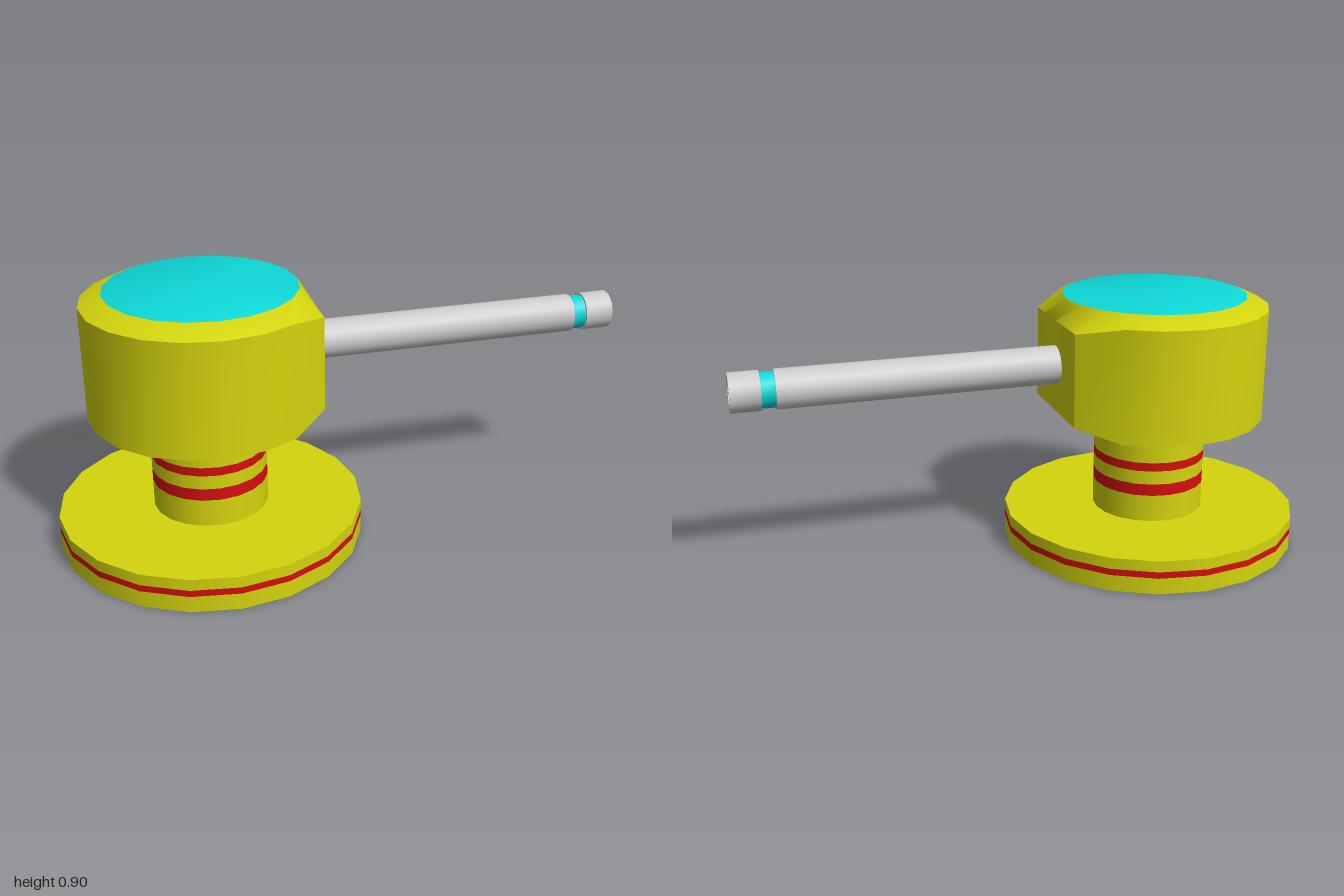
import * as THREE from 'three';
import { toCreasedNormals } from 'three/addons/utils/BufferGeometryUtils.js';

const SIDES = 20;
const AXIS_X = -0.473;
const BARREL_Y = 0.676;
const BARREL_Z = -0.003;

const paint = (color) => new THREE.MeshStandardMaterial({ color });
const yellow = paint(0xd4d40e);
const red = paint(0xd40e0e);
const cyan = paint(0x0ed8d8);
const grey = paint(0xcccccc);

function add(group, name, geometry, material) {
  const mesh = new THREE.Mesh(geometry, material);
  mesh.name = name;
  group.add(mesh);
  return mesh;
}

// Upright drum split into bands: [bottom, top, material]
function bandedDrum(name, radius, bands) {
  const group = new THREE.Group();
  group.name = name;
  bands.forEach(([y0, y1, material], i) => {
    const g = new THREE.CylinderGeometry(radius, radius, y1 - y0, SIDES, 1, true);
    g.translate(0, (y0 + y1) / 2, 0);
    add(group, `${name}Band${i + 1}`, g, material);
  });
  return group;
}

function disc(radius, y, up) {
  const g = new THREE.CircleGeometry(radius, SIDES);
  g.rotateX(up ? -Math.PI / 2 : Math.PI / 2);
  return g.translate(0, y, 0);
}

// Turret head: bevelled drum with a flat cheek on the barrel side
function headGeometry() {
  const rings = [
    { r: 0.2, y: 0.412 },
    { r: 0.4, y: 0.475, cheekY: 0.507 },
    { r: 0.4, y: 0.869, cheekY: 0.832 },
    { r: 0.324, y: 0.904 },
  ];
  const positions = [];
  const index = [];
  for (const { r, y, cheekY } of rings) {
    for (let i = 0; i < SIDES; i++) {
      const a = (i / SIDES) * Math.PI * 2;
      const step = Math.min(i, SIDES - i);
      let z = r * Math.sin(a);
      if (cheekY && step <= 2) {
        if (step === 2) z = Math.sign(z) * 0.2;
        positions.push(0.363, cheekY, z);
      } else {
        positions.push(r * Math.cos(a), y, z);
      }
    }
  }
  for (let k = 0; k < rings.length - 1; k++) {
    for (let i = 0; i < SIDES; i++) {
      const a = k * SIDES + i;
      const b = k * SIDES + ((i + 1) % SIDES);
      index.push(a, a + SIDES, b, b, a + SIDES, b + SIDES);
    }
  }
  const sideCount = index.length;
  // Roof fan
  const first = (rings.length - 1) * SIDES;
  const centre = positions.length / 3;
  positions.push(0, 0.904, 0);
  for (let i = 0; i < SIDES; i++) {
    index.push(first + i, centre, first + ((i + 1) % SIDES));
  }
  const g = new THREE.BufferGeometry();
  g.setAttribute('position', new THREE.Float32BufferAttribute(positions, 3));
  g.setIndex(index);
  g.addGroup(0, sideCount, 0);
  g.addGroup(sideCount, index.length - sideCount, 1);
  return toCreasedNormals(g, Math.PI / 6);
}

// Lathe a [radius, x] profile around the barrel axis
function barrelLathe(profile) {
  const points = profile.map(([r, x]) => new THREE.Vector2(r, x));
  const g = toCreasedNormals(new THREE.LatheGeometry(points, SIDES), Math.PI / 6);
  g.rotateZ(-Math.PI / 2);
  return g.translate(0, BARREL_Y, BARREL_Z);
}

export function createModel() {
  const model = new THREE.Group();
  model.name = 'turret';

  const body = new THREE.Group();
  body.name = 'body';
  body.position.x = AXIS_X;
  model.add(body);

  // Base plate with a red stripe
  const base = bandedDrum('base', 0.527, [
    [0, 0.058, yellow],
    [0.058, 0.081, red],
    [0.081, 0.121, yellow],
  ]);
  add(base, 'baseTop', disc(0.527, 0.121, true), yellow);
  add(base, 'baseUnderside', disc(0.527, 0, false), yellow);
  body.add(base);

  // Neck with two red stripes
  body.add(bandedDrum('neck', 0.2, [
    [0.121, 0.218, yellow],
    [0.218, 0.261, red],
    [0.261, 0.31, yellow],
    [0.31, 0.341, red],
    [0.341, 0.412, yellow],
  ]));

  add(body, 'head', headGeometry(), [yellow, cyan]);

  // Barrel: outer tube, inset ring, hollow muzzle
  const barrel = new THREE.Group();
  barrel.name = 'barrel';
  add(barrel, 'barrelTube', barrelLathe([[0.067, -0.115], [0.067, 0.853], [0.06, 0.853]]), grey);
  add(barrel, 'barrelRing', barrelLathe([[0.06, 0.853], [0.06, 0.9]]), cyan);
  add(barrel, 'muzzle', barrelLathe([
    [0.06, 0.9], [0.067, 0.9], [0.067, 1], [0.047, 1], [0.036, 0.9], [0.036, -0.11],
  ]), grey);
  model.add(barrel);

  return model;
}
